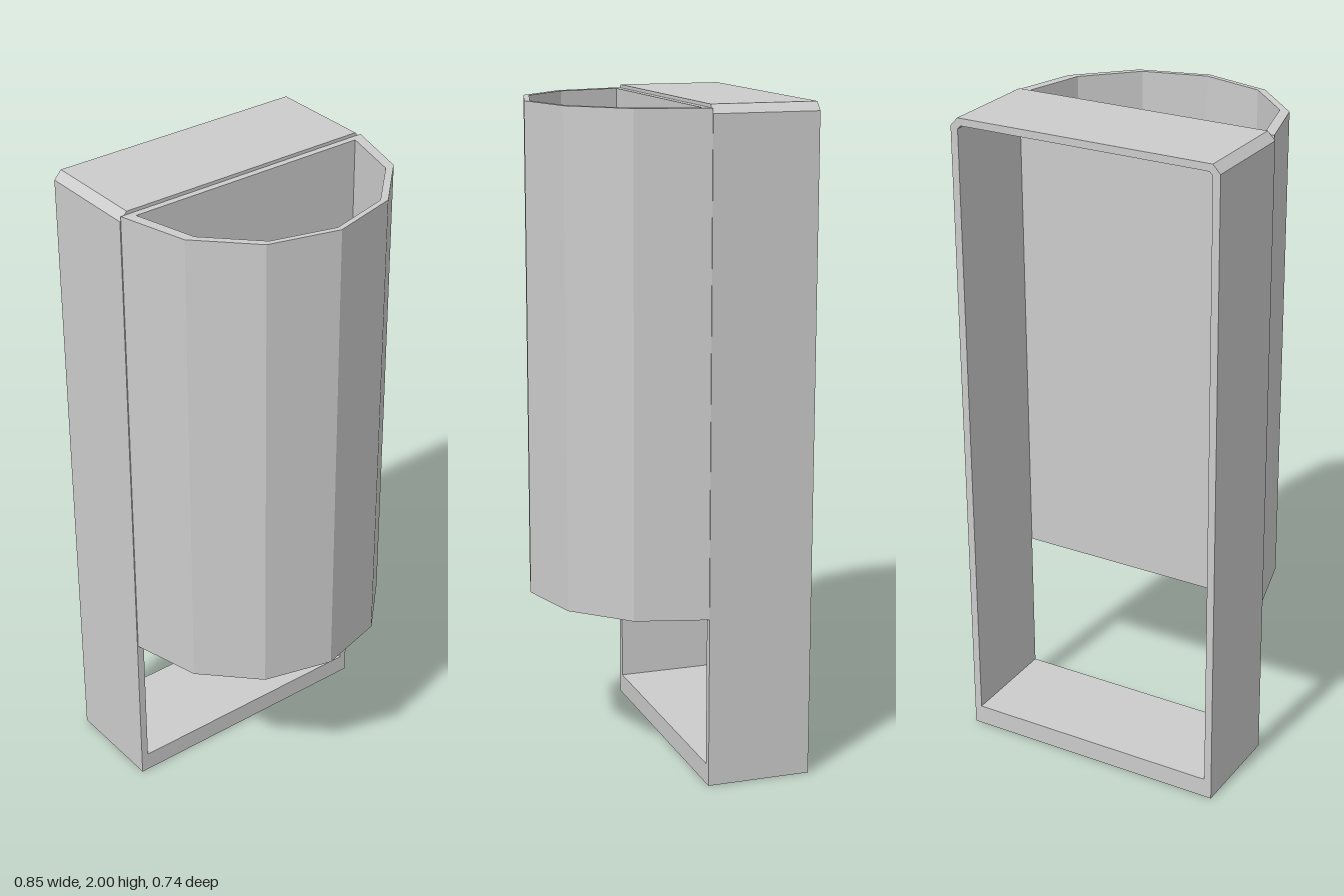
import * as THREE from 'three';

const material = new THREE.MeshStandardMaterial({ color: 0xcccccc, flatShading: true });
const polygon = (pts) => pts.map(([x, y]) => new THREE.Vector2(x, y));

// Mirrors a right-hand half outline, running from the rear corner to the front tip
const mirrored = (half) => [...half, ...half.slice(0, -1).reverse().map(([x, z]) => [-x, z])];

// Extrudes an outline drawn in x and z upwards from y0 to y1
function upright(name, outline, y0, y1, hole) {
  const flip = (pts) => polygon(pts.map(([x, z]) => [x, -z]));
  // The outline runs opposite to the hole so that inner walls face inwards
  const shape = new THREE.Shape(flip(outline).reverse());
  if (hole) shape.holes.push(new THREE.Path(flip(hole)));
  const geo = new THREE.ExtrudeGeometry(shape, { depth: y1 - y0, bevelEnabled: false });
  geo.rotateX(-Math.PI / 2).translate(0, y0, 0);
  const mesh = new THREE.Mesh(geo, material);
  mesh.name = name;
  return mesh;
}

export function createModel() {
  const model = new THREE.Group();
  model.name = 'litterBin';

  // Upright rectangular frame with clipped top corners
  const frameShape = new THREE.Shape(polygon([
    [-0.423, 0], [0.423, 0], [0.423, 1.975], [0.4, 2], [-0.4, 2], [-0.423, 1.975],
  ]));
  frameShape.holes.push(new THREE.Path(polygon([
    [-0.4, 0.062], [-0.4, 1.968], [-0.39, 1.978], [0.39, 1.978], [0.4, 1.968], [0.4, 0.062],
  ])));
  const frameGeo = new THREE.ExtrudeGeometry(frameShape, { depth: 0.319, bevelEnabled: false });
  frameGeo.translate(0, 0, -0.37);
  const frame = new THREE.Mesh(frameGeo, material);
  frame.name = 'frame';
  model.add(frame);

  // Faceted half-round container, open at the top
  const outer = mirrored([[0.42, -0.051], [0.363, 0.16], [0.21, 0.314], [0, 0.37]]);
  const inner = mirrored([[0.383, -0.031], [0.332, 0.162], [0.192, 0.302], [0, 0.353]]);
  const bin = new THREE.Group();
  bin.name = 'bin';
  bin.add(upright('binWall', outer, 0.515, 1.99, inner));

  // Floor set slightly above the lower rim
  bin.add(upright('binFloor', inner, 0.54, 0.56));
  model.add(bin);

  return model;
}
